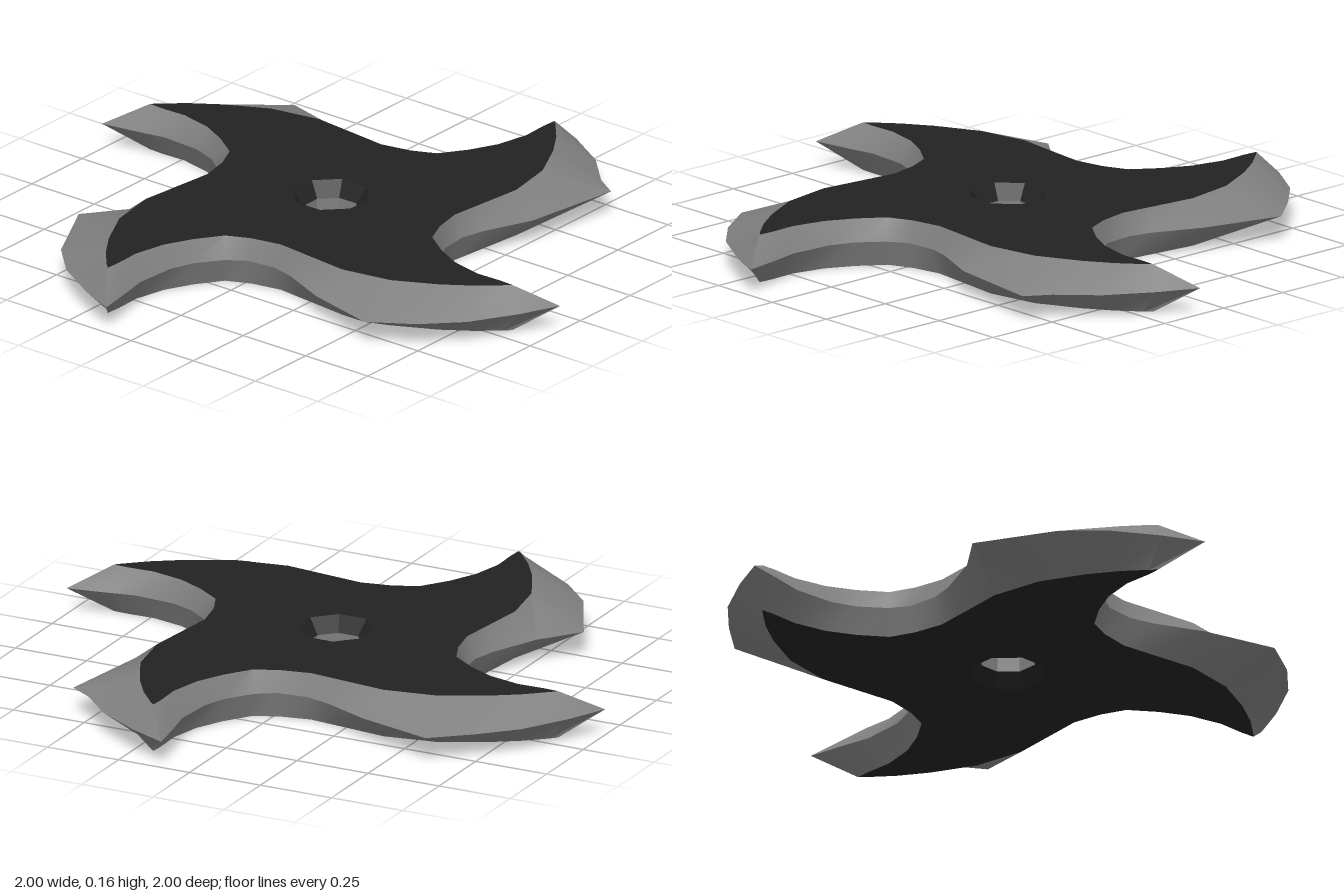
import * as THREE from 'three';
import { toCreasedNormals } from 'three/addons/utils/BufferGeometryUtils.js';

const black = new THREE.MeshStandardMaterial({ name: 'blackened face', color: 0x222222 });
const steel = new THREE.MeshStandardMaterial({ name: 'ground steel', color: 0x808080 });

const TOP = 0.16, EDGE = 0.09, BOTTOM = 0.005;

// One blade, tip to next tip, as [x, z]: cutting edge and the matching rim of the flat face
const EDGE_POINTS = [
  [0.1, -1], [0.23, -0.94], [0.38, -0.85], [0.49, -0.74], [0.59, -0.62], [0.52, -0.36], [0.45, -0.2],
  [0.43, -0.12], [0.44, -0.02], [0.48, 0.04], [0.56, 0.1], [0.64, 0.13], [0.78, 0.14], [0.88, 0.12],
];
const FACE_POINTS = [
  [0.19, -0.88], [0.21, -0.86], [0.27, -0.79], [0.33, -0.7], [0.4, -0.56], [0.43, -0.39], [0.41, -0.21],
  [0.4, -0.12], [0.42, -0.02], [0.455, 0.06], [0.54, 0.12], [0.63, 0.165], [0.74, 0.19], [0.83, 0.187],
];
// The heel corner is ground a little differently on each blade
const HEELS = [[0.59, -0.62], [0.57, -0.69], [0.58, -0.6], [0.62, -0.49]];
const HEEL_INDEX = 4;

// Repeat a blade profile four times about the centre
function fourBlades(points, heels) {
  const ring = [];
  for (let k = 0; k < 4; k++) {
    points.forEach((point, i) => {
      let [x, z] = heels && i === HEEL_INDEX ? heels[k] : point;
      for (let n = 0; n < k; n++) [x, z] = [-z, x];
      ring.push([x, z]);
    });
  }
  return ring;
}

// Octagonal ring for the hole, wound so that its walls face inward
function holeRing(radius) {
  return Array.from({ length: 8 }, (_, i) => {
    const a = (i + 0.5) * Math.PI / 4;
    return [radius * Math.cos(a), -radius * Math.sin(a)];
  });
}

// Wall between an upper and a lower ring
function band(upper, yUpper, lower, yLower) {
  const positions = [];
  const n = upper.length;
  for (let i = 0; i < n; i++) {
    const j = (i + 1) % n;
    const u0 = [upper[i][0], yUpper, upper[i][1]], u1 = [upper[j][0], yUpper, upper[j][1]];
    const l0 = [lower[i][0], yLower, lower[i][1]], l1 = [lower[j][0], yLower, lower[j][1]];
    positions.push(...u0, ...u1, ...l1, ...u0, ...l1, ...l0);
  }
  const geometry = new THREE.BufferGeometry();
  geometry.setAttribute('position', new THREE.Float32BufferAttribute(positions, 3));
  geometry.computeVertexNormals();
  return toCreasedNormals(geometry, 0.5);
}

// Flat face with the hole cut out; side is 1 for the top and -1 for the bottom
function flatFace(ring, hole, side, y) {
  const to2D = ([x, z]) => new THREE.Vector2(x, -side * z);
  const shape = new THREE.Shape(ring.map(to2D));
  shape.holes.push(new THREE.Path(hole.map(to2D)));
  return new THREE.ShapeGeometry(shape).rotateX(-side * Math.PI / 2).translate(0, y, 0);
}

export function createModel() {
  const group = new THREE.Group();
  group.name = 'throwingStar';
  const add = (name, geometry, material) => {
    const mesh = new THREE.Mesh(geometry, material);
    mesh.name = name;
    group.add(mesh);
  };

  const edge = fourBlades(EDGE_POINTS, HEELS);
  const face = fourBlades(FACE_POINTS);
  const rim = holeRing(0.125), bore = holeRing(0.09);

  // Flat faces
  add('topFace', flatFace(face, rim, 1, TOP), black);
  add('bottomFace', flatFace(face, rim, -1, BOTTOM), black);

  // Ground bevels meeting at the cutting edge
  add('upperBevel', band(face, TOP, edge, EDGE), steel);
  add('lowerBevel', band(edge, EDGE, face, BOTTOM), steel);

  // Centre hole: dark chamfers around a steel bore
  add('holeUpperChamfer', band(rim, TOP, bore, 0.11), black);
  add('holeBore', band(bore, 0.11, bore, 0.05), steel);
  add('holeLowerChamfer', band(bore, 0.05, rim, BOTTOM), black);

  return group;
}
